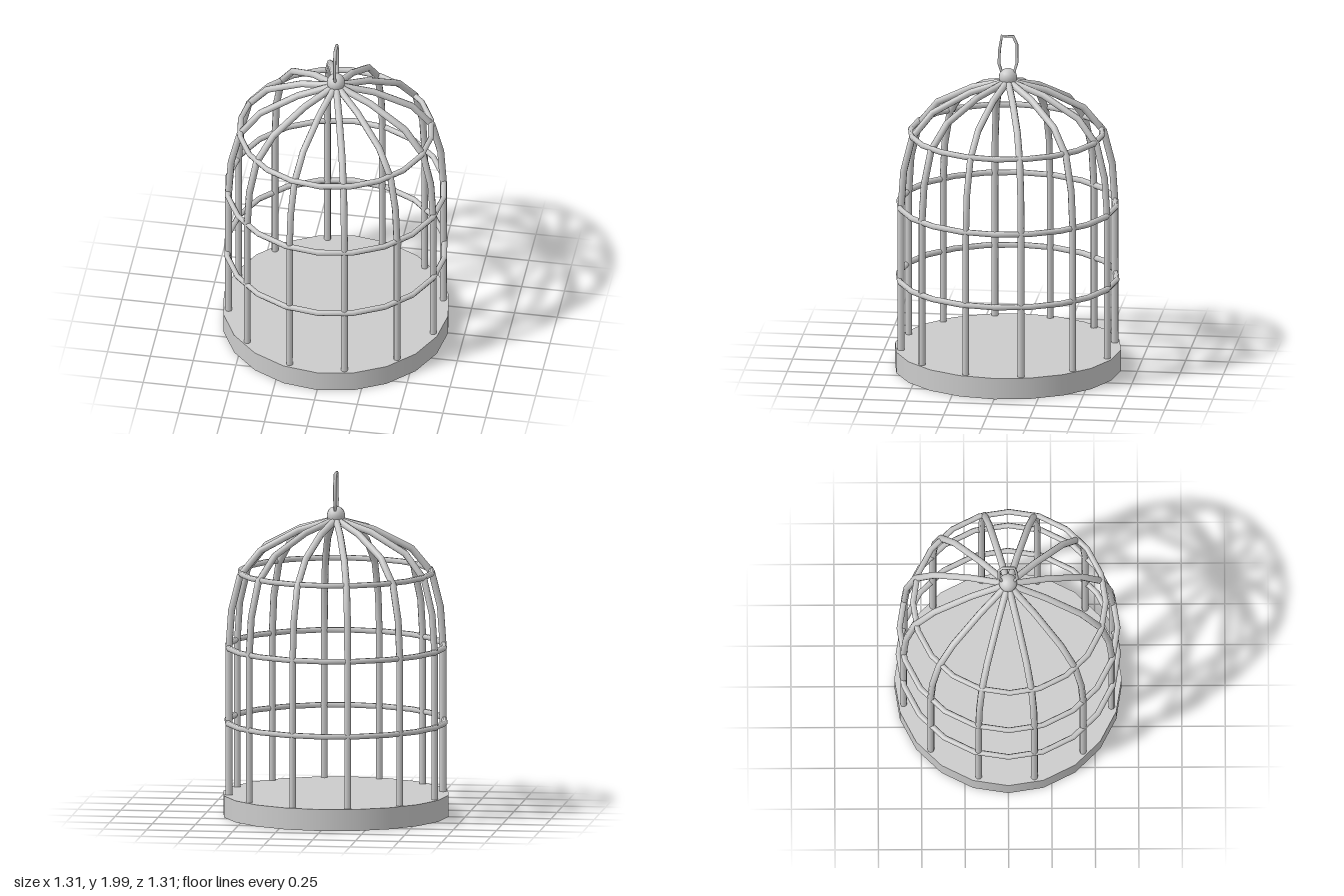
import * as THREE from 'three';

const material = new THREE.MeshStandardMaterial({ color: 0xcccccc });

function addPart(parent, name, geometry) {
  const mesh = new THREE.Mesh(geometry, material);
  mesh.name = name;
  parent.add(mesh);
  return mesh;
}

// Low-poly wire with one ring of vertices at each given point
function wire(points, radius, sides, closed = false) {
  const curve = new THREE.CatmullRomCurve3(points, closed);
  curve.getUtoTmapping = (u) => u;
  return new THREE.TubeGeometry(curve, closed ? points.length : points.length - 1, radius, sides, closed);
}

export function createModel() {
  const cage = new THREE.Group();
  cage.name = 'birdcage';

  // Solid round floor
  addPart(cage, 'base', new THREE.CylinderGeometry(0.655, 0.655, 0.125, 20)).position.y = 0.0625;

  // Twelve upright bars that bend in to form the dome
  const barProfile = [
    [0.62, 0.1], [0.62, 0.54], [0.62, 0.98], [0.605, 1.2],
    [0.555, 1.4], [0.438, 1.543], [0.22, 1.657], [0, 1.72],
  ];
  const barGeometry = wire(barProfile.map(([r, y]) => new THREE.Vector3(r, y, 0)), 0.02, 8);
  const bars = new THREE.Group();
  bars.name = 'bars';
  cage.add(bars);
  for (let i = 0; i < 12; i++) {
    addPart(bars, 'bar', barGeometry).rotation.y = -THREE.MathUtils.degToRad(16 + 30 * i);
  }

  // Horizontal hoops around the bars: height, radius, z shift
  const hoops = [[0.545, 0.632, 0.002], [0.982, 0.628, 0.003], [1.412, 0.555, 0.008]];
  for (const [y, radius, z] of hoops) {
    const hoop = addPart(cage, 'hoop', new THREE.TorusGeometry(radius, 0.017, 6, 20));
    hoop.rotation.x = Math.PI / 2;
    hoop.position.set(0, y, z);
  }

  // Ball on the crown and the hanging loop above it
  addPart(cage, 'crownBall', new THREE.SphereGeometry(0.053, 16, 10)).position.y = 1.742;
  const loopOutline = [
    [0.03, 1.75], [0.052, 1.82], [0.05, 1.9], [0.036, 1.988],
    [-0.03, 1.988], [-0.052, 1.94], [-0.052, 1.83], [-0.03, 1.75],
  ];
  addPart(cage, 'hangingLoop', wire(loopOutline.map(([z, y]) => new THREE.Vector3(0, y, z)), 0.009, 6, true));

  return cage;
}
